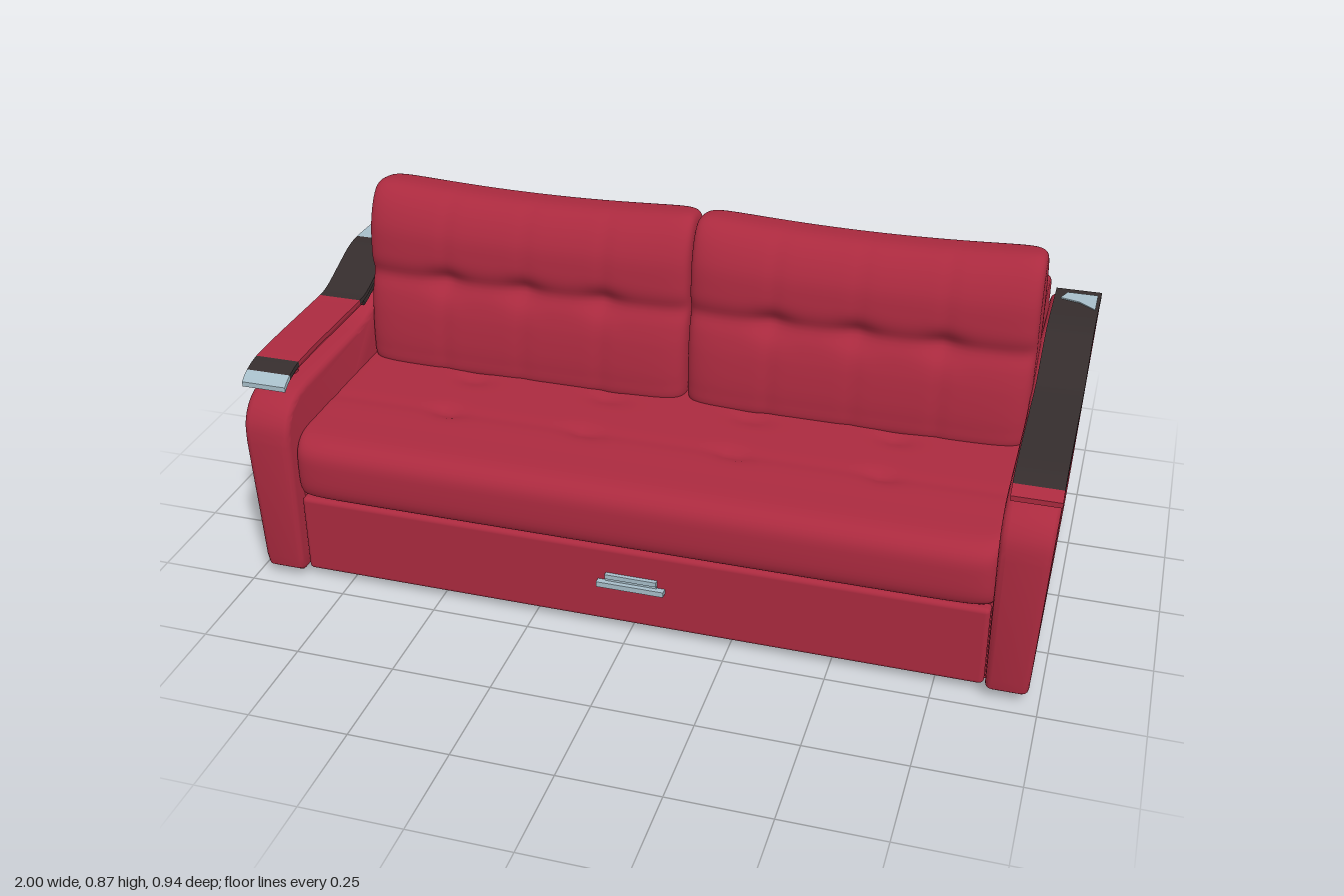
import * as THREE from 'three';
import { toCreasedNormals } from 'three/addons/utils/BufferGeometryUtils.js';
import { RoundedBoxGeometry } from 'three/addons/geometries/RoundedBoxGeometry.js';

const material = (name, color) => {
  const m = new THREE.MeshStandardMaterial({ color });
  m.name = name;
  return m;
};

// Extrude a side profile of [z, y] points across x0..x1, with rounded edges.
function slab(points, x0, x1, bevel = 0) {
  const shape = new THREE.Shape(points.map(([z, y]) => new THREE.Vector2(-z, y)));
  const geo = new THREE.ExtrudeGeometry(shape, {
    depth: x1 - x0 - 2 * bevel, bevelEnabled: bevel > 0, bevelSize: bevel,
    bevelThickness: bevel, bevelOffset: -bevel, bevelSegments: 3,
  });
  geo.rotateY(Math.PI / 2).translate(x0 + bevel, 0, 0);
  return geo;
}

// Smooth open curve through [z, y] points.
const smooth = (pts, n) => new THREE.SplineCurve(pts.map((p) => new THREE.Vector2(...p)))
  .getPoints(n).map((p) => [p.x, p.y]);

// Pillow: a closed [z, y] profile swept along x, shrinking at both ends; dent(p) presses in the tufting.
function pillow(profile, x0, x1, power, dent, nu = 100, nv = 120) {
  const ring = new THREE.CatmullRomCurve3(
    profile.map(([z, y]) => new THREE.Vector3(0, y, z)), true, 'centripetal').getSpacedPoints(nv).slice(0, nv);
  const mid = new THREE.Box3().setFromPoints(ring).getCenter(new THREE.Vector3());
  const pos = [], index = [];
  for (let i = 0; i <= nu; i++) {
    const k = (2 * i) / nu - 1;
    const t = 0.55 * Math.sin(k * Math.PI / 2) + 0.45 * Math.sin(Math.sin(k * Math.PI / 2) * Math.PI / 2);
    const shrink = (p) => Math.max(0, 1 - Math.abs(t) ** p) ** (1 / p);
    for (let j = 0; j < nv; j++) {
      const p = new THREE.Vector3((x0 + x1) / 2 + t * (x1 - x0) / 2,
        mid.y + (ring[j].y - mid.y) * shrink(power * 3), mid.z + (ring[j].z - mid.z) * shrink(power));
      dent(p, t, mid);
      pos.push(p.x, p.y, p.z);
      if (i < nu) {
        const a = i * nv + j, b = i * nv + (j + 1) % nv;
        index.push(a, a + nv, b, b, a + nv, b + nv);
      }
    }
  }
  const geo = new THREE.BufferGeometry();
  geo.setAttribute('position', new THREE.Float32BufferAttribute(pos, 3));
  geo.setIndex(index);
  geo.computeVertexNormals();
  return geo;
}

const bump = (d, w) => Math.exp(-(d * d) / (w * w));

export function createModel() {
  const model = new THREE.Group();
  const red = material('red upholstery', 0xab2a3f);
  const dark = material('dark wood', 0x352d2d);
  const steel = material('pale metal', 0xa7bec9);
  const add = (name, geo, mat, parent = model) => {
    const mesh = new THREE.Mesh(geo, mat);
    mesh.name = name;
    parent.add(mesh);
  };

  // Base and drawer front
  add('base', new THREE.BoxGeometry(1.744, 0.3, 0.82).translate(0, 0.17, 0.005), red);
  add('drawerFront', new RoundedBoxGeometry(1.735, 0.214, 0.06, 3, 0.012).translate(0, 0.127, 0.415), red);

  // Back frame with a rounded top
  const back = [[-0.405, 0.02], [-0.25, 0.02], [-0.25, 0.66],
    ...smooth([[-0.255, 0.685], [-0.275, 0.705], [-0.33, 0.71], [-0.4, 0.7], [-0.43, 0.68], [-0.436, 0.64]], 16)];
  add('backFrame', toCreasedNormals(slab(back, -0.872, 0.872, 0.015), 0.6), red);

  // Seat cushion with two rows of tufts
  const seat = [[0.44, 0.24], [0.457, 0.26], [0.462, 0.32], [0.455, 0.37], [0.425, 0.395], [0.3, 0.402],
    [0.1, 0.402], [-0.1, 0.4], [-0.22, 0.395], [-0.24, 0.3], [-0.22, 0.24], [0.1, 0.238]];
  add('seatCushion', pillow(seat, -0.876, 0.876, 24, (p) => {
    if (p.y < 0.38) return;
    for (const x of [-0.56, -0.19, 0.19, 0.56]) {
      for (const z of [0.2, 0.02]) {
        p.y -= 0.012 * bump(p.x - x, 0.04) * bump(p.z - z, 0.03);
      }
    }
    p.y -= 0.003 * bump(p.z - 0.2, 0.02);
  }), red);

  // Two back cushions, leaning back, tufted along a middle seam
  const cushion = [[-0.02, 0.39], [-0.012, 0.44], [-0.022, 0.54], [-0.045, 0.63], [-0.048, 0.7], [-0.06, 0.77],
    [-0.095, 0.83], [-0.135, 0.857], [-0.19, 0.857], [-0.245, 0.84], [-0.277, 0.78], [-0.276, 0.7],
    [-0.25, 0.6], [-0.22, 0.48], [-0.19, 0.39]];
  for (const side of [-1, 1]) {
    const cx = side * 0.438;
    add(side > 0 ? 'leftBackCushion' : 'rightBackCushion', pillow(cushion, cx - 0.437, cx + 0.437, 8, (p, t, mid) => {
      const front = p.z > mid.z - (p.y - mid.y) * 0.3;
      const high = Math.max(0, (p.y - 0.7) / 0.16);
      p.y += high * (0.02 * t * t - 0.01);
      if (!front) return;
      p.z -= 0.01 * bump(p.y - 0.635, 0.025);
      for (const x of [-0.215, 0, 0.215]) {
        p.z -= 0.003 * bump(p.x - cx - x, 0.018);
        p.z -= 0.018 * bump(p.x - cx - x, 0.05) * bump(p.y - 0.635, 0.035);
      }
    }), red);
  }

  // Drawer handle
  const handle = new THREE.Group();
  handle.name = 'drawerHandle';
  model.add(handle);
  add('handleLip', new THREE.BoxGeometry(0.13, 0.012, 0.012).translate(0.005, 0.157, 0.45), steel, handle);
  add('handleBar', new THREE.BoxGeometry(0.17, 0.014, 0.016).translate(0.005, 0.136, 0.455), steel, handle);
  add('handlePlate', new THREE.BoxGeometry(0.13, 0.03, 0.008).translate(0.005, 0.147, 0.447), steel, handle);

  // Side profile of the arms
  const armProfile = [[-0.415, 0.018], [0.45, 0.018], [0.465, 0.03], [0.47, 0.06],
    ...smooth([[0.47, 0.39], [0.462, 0.44], [0.435, 0.48], [0.39, 0.505], [0.33, 0.513]], 14),
    ...smooth([[0.05, 0.514], [-0.02, 0.522], [-0.09, 0.553], [-0.16, 0.595], [-0.22, 0.62], [-0.27, 0.625]], 18),
    [-0.455, 0.625], [-0.467, 0.615], [-0.434, 0.07], [-0.428, 0.035]];

  // Centre line of the armrest boards, front tip to back
  const path = new THREE.SplineCurve([[0.432, 0.538], [0.405, 0.555], [0.35, 0.569], [0.25, 0.572], [0.12, 0.572],
    [0, 0.572], [-0.05, 0.578], [-0.12, 0.604], [-0.19, 0.63], [-0.25, 0.638], [-0.36, 0.636], [-0.468, 0.632]]
    .map((p) => new THREE.Vector2(...p))).getPoints(220);
  const board = (z0, z1, top, bottom, x0, x1) => {
    const run = path.filter((p) => p.x <= z0 && p.x >= z1).filter((p, i, a) => i % 4 === 0 || i === a.length - 1);
    const upper = run.map((p) => [p.x, p.y + top]);
    const lower = run.map((p) => [p.x, p.y + bottom]).reverse();
    return toCreasedNormals(slab([...upper, ...lower], x0, x1), 0.6);
  };

  // Colour sections of each armrest: [from z, to z, material]
  const sections = {
    1: [[0.44, 0.405, red], [0.407, -0.48, dark]],
    '-1': [[0.44, 0.4, steel], [0.402, 0.35, dark], [0.352, -0.005, red], [-0.003, -0.25, dark],
      [-0.248, -0.453, steel], [-0.451, -0.48, dark]],
  };

  for (const side of [-1, 1]) {
    const arm = new THREE.Group();
    arm.name = side > 0 ? 'leftArm' : 'rightArm';
    model.add(arm);
    const span = (a, b) => (side > 0 ? [a, b] : [-b, -a]);

    // Padded side panel, flaring outward toward the top
    const panel = slab(armProfile, ...span(0.872, 0.972), 0.015);
    const pos = panel.attributes.position;
    for (let i = 0; i < pos.count; i++) {
      const f = (Math.abs(pos.getX(i)) - 0.872) / 0.1;
      pos.setX(i, pos.getX(i) + side * f * 0.027 * Math.min(1, pos.getY(i) / 0.55));
    }
    add('armPanel', toCreasedNormals(panel, 0.6), red, arm);

    // Armrest board: red underlayer, dark riser and coloured top
    add('armrestUnderlay', board(0.425, -0.46, -0.006, -0.02, ...span(0.89, 0.993)), red, arm);
    add('armrestRiser', board(-0.03, -0.22, -0.006, -0.026, ...span(0.886, 0.998)), dark, arm);
    for (const [z0, z1, mat] of sections[side]) {
      add('armrestTop', board(z0, z1, 0.003, -0.01, ...span(0.884, 1.0)), mat, arm);
    }
    add('armrestBackCap', new THREE.BoxGeometry(0.112, 0.058, 0.009).rotateX(-0.06)
      .translate(side * 0.941, 0.596, -0.465), dark, arm);
    add('armrestPost', new THREE.CylinderGeometry(0.022, 0.022, 0.06, 20)
      .translate(side * 0.94, 0.53, 0.302), red, arm);

    // Feet
    for (const z of [0.35, -0.357]) {
      add('foot', new THREE.CylinderGeometry(0.027, 0.022, 0.03, 20).translate(side * 0.908, 0.015, z), red, arm);
    }
  }

  // Metal inlay at the back of the left armrest, with a slanted front edge
  const inlay = new THREE.Shape([[0.9, 0.4], [0.95, 0.385], [0.992, 0.35], [0.992, 0.436], [0.915, 0.436]]
    .map((p) => new THREE.Vector2(...p)));
  add('armrestInlay', new THREE.ExtrudeGeometry(inlay, { depth: 0.006, bevelEnabled: false })
    .rotateX(-Math.PI / 2).translate(0, 0.635, 0), steel);
  return model;
}
